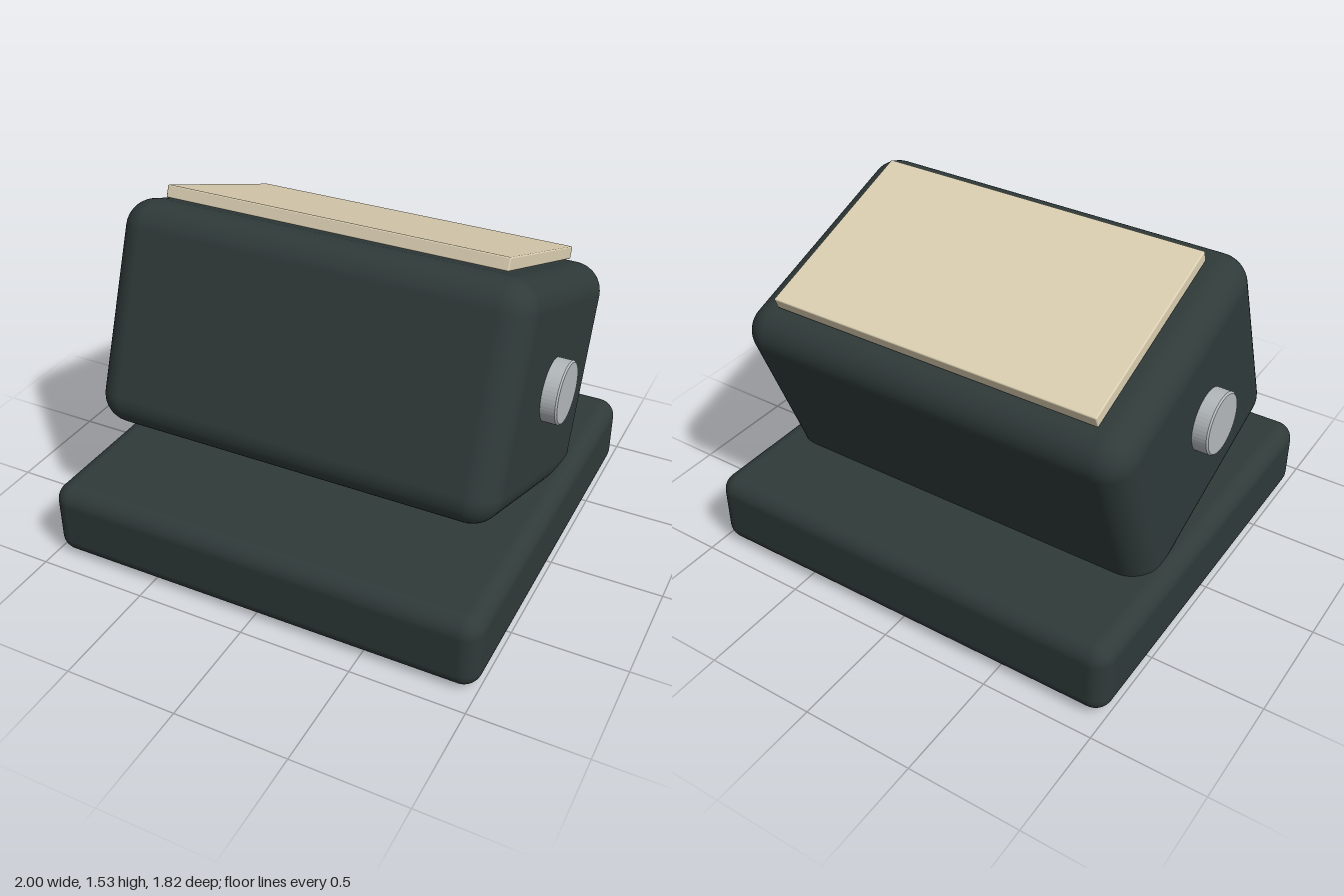
import * as THREE from 'three';
import { RoundedBoxGeometry } from 'three/addons/geometries/RoundedBoxGeometry.js';

const material = (name, color) => {
  const m = new THREE.MeshStandardMaterial({ color });
  m.name = name;
  return m;
};

export function createModel() {
  const dark = material('dark slate', 0x2f3a39);
  const cream = material('cream', 0xdccfb2);
  const metal = material('light grey metal', 0xb3b8ba);
  const model = new THREE.Group();
  model.name = 'tiltingBox';

  const roundedBox = (name, mat, parent, size, radius, pos) => {
    const mesh = new THREE.Mesh(new RoundedBoxGeometry(...size, 6, radius), mat);
    mesh.name = name;
    mesh.position.set(...pos);
    parent.add(mesh);
  };

  // Flat base slab
  roundedBox('base', dark, model, [2, 0.346, 1.82], 0.08, [0, 0.173, 0]);

  // Head tilted back about the pivot axis
  const head = new THREE.Group();
  head.name = 'tiltedHead';
  head.position.set(0, 0.885, 0);
  head.rotation.x = -THREE.MathUtils.degToRad(20.8);
  model.add(head);
  roundedBox('headBody', dark, head, [1.85, 0.99, 1.16], 0.13, [0, -0.02, -0.055]);
  roundedBox('topPanel', cream, head, [1.545, 0.055, 0.88], 0.006, [0, 0.512, -0.05]);

  // Pivot caps on both sides, with a slightly eased rim
  const profile = [[0, 0], [0.137, 0], [0.137, 0], [0.137, 0.105], [0.137, 0.105], [0.13, 0.112], [0.13, 0.112], [0, 0.112]]
    .map(([r, y]) => new THREE.Vector2(r, y));
  const capGeometry = new THREE.LatheGeometry(profile.filter((p, i) => i === 0 || !p.equals(profile[i - 1])), 48).toNonIndexed();
  capGeometry.computeVertexNormals();
  for (const side of [-1, 1]) {
    const cap = new THREE.Mesh(capGeometry, metal);
    cap.name = side > 0 ? 'leftPivotCap' : 'rightPivotCap';
    cap.position.set(side * 0.883, 0.885, 0);
    cap.rotation.z = -side * Math.PI / 2;
    model.add(cap);
  }
  return model;
}
